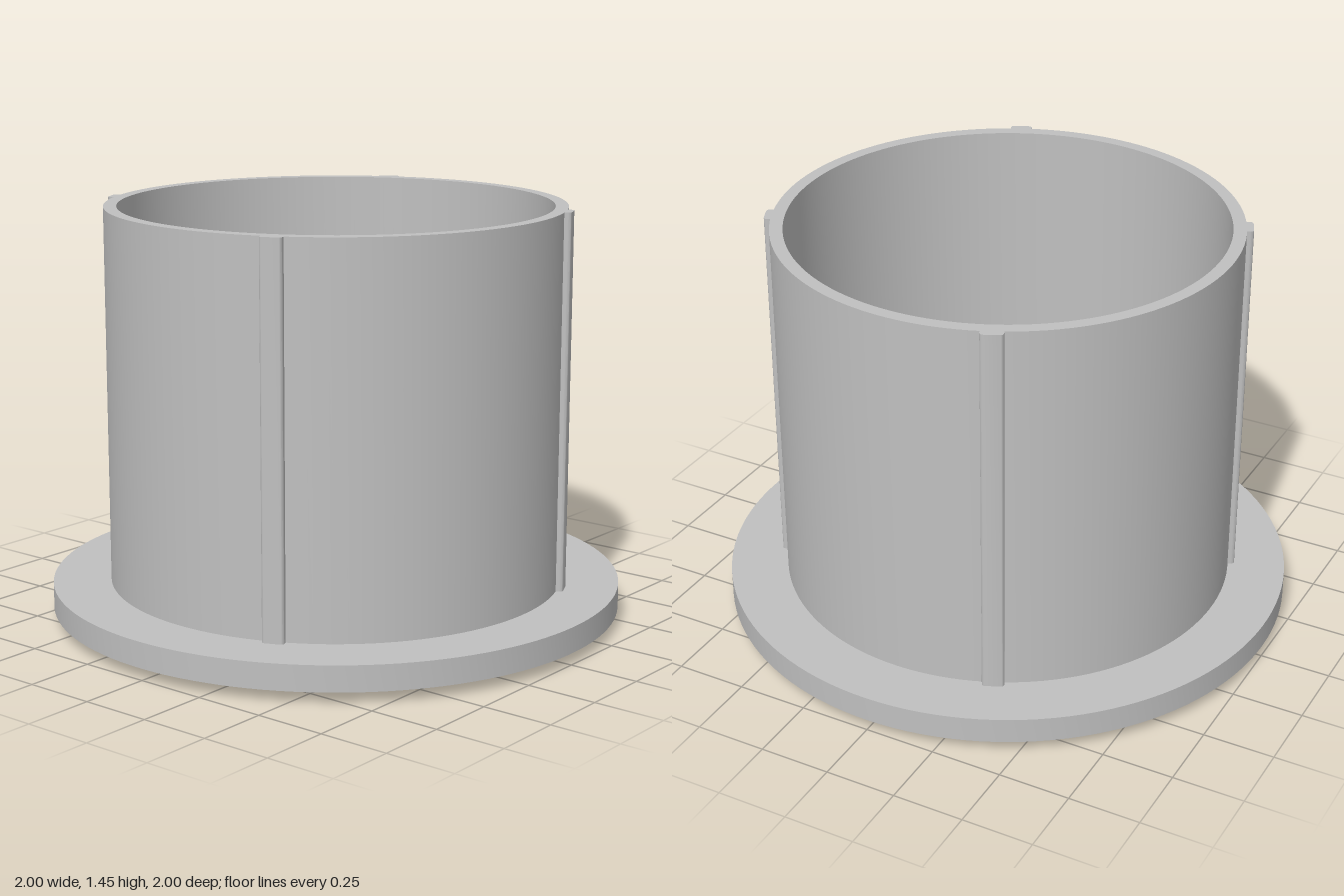
import * as THREE from 'three';
import { toCreasedNormals } from 'three/addons/utils/BufferGeometryUtils.js';

const SEGMENTS = 128;

// Closed ring turned from a profile of [radius, y] points, with sharp corners kept
function turned(name, points, material) {
  const profile = [...points, points[0]].map(([r, y]) => new THREE.Vector2(r, y));
  const geometry = toCreasedNormals(new THREE.LatheGeometry(profile, SEGMENTS), 0.6);
  const mesh = new THREE.Mesh(geometry, material);
  mesh.name = name;
  return mesh;
}

export function createModel() {
  const group = new THREE.Group();
  group.name = 'flangedBushing';
  const grey = new THREE.MeshStandardMaterial({ color: 0xc0c0c0 });
  grey.name = 'grey';

  // Thin-walled sleeve with its wide flange
  group.add(turned('flangedSleeve', [
    [0.715, 0.04], [1, 0.04], [1, 0.13], [0.797, 0.13],
    [0.797, 1.45], [0.752, 1.45], [0.752, 0.13], [0.715, 0.13],
  ], grey));

  // Base plate with a centre hole, rounded lip below and sloped seat inside
  const base = turned('basePlate', [
    [0.44, 0], [0.775, 0], [0.793, 0.005], [0.805, 0.016], [0.81, 0.03],
    [0.81, 0.042], [0.74, 0.042], [0.74, 0.131], [0.722, 0.131],
    [0.674, 0.06], [0.44, 0.06],
  ], grey);
  base.position.x = -0.007;
  group.add(base);

  // Four vertical ribs with softened edges around the sleeve
  const section = new THREE.Shape();
  section.moveTo(0.77, -0.038);
  section.lineTo(0.806, -0.038);
  section.quadraticCurveTo(0.82, -0.038, 0.82, -0.024);
  section.lineTo(0.82, 0.024);
  section.quadraticCurveTo(0.82, 0.038, 0.806, 0.038);
  section.lineTo(0.77, 0.038);
  section.closePath();
  const ribGeometry = toCreasedNormals(new THREE.ExtrudeGeometry(section, {
    depth: 1.32, bevelEnabled: false, curveSegments: 5,
  }).rotateX(-Math.PI / 2).translate(0, 0.13, 0), 0.6);
  for (let i = 0; i < 4; i++) {
    const rib = new THREE.Mesh(ribGeometry, grey);
    rib.name = `rib${i + 1}`;
    rib.rotation.y = 0.427 + i * Math.PI / 2;
    group.add(rib);
  }
  return group;
}
